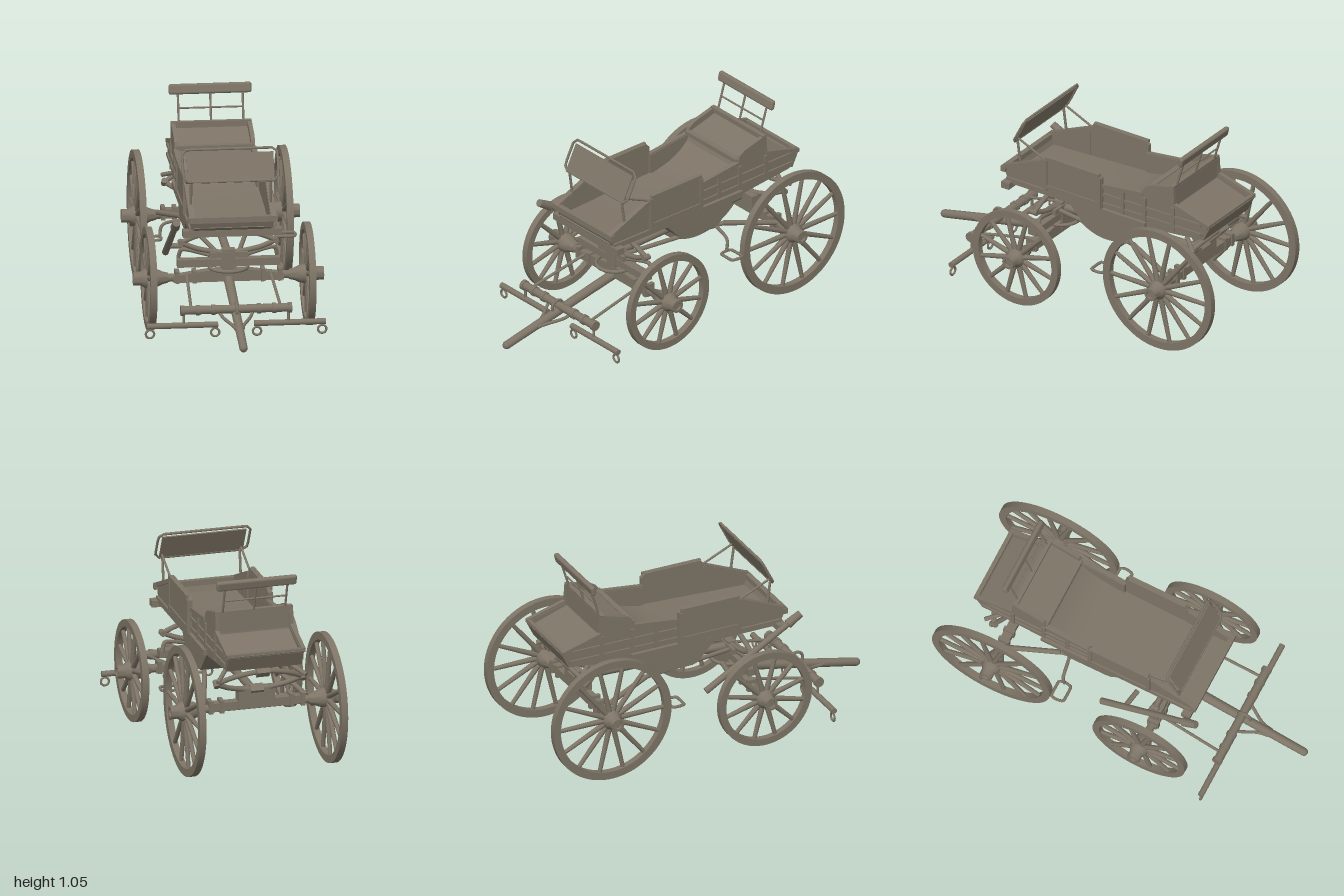
import * as THREE from 'three';
import { toCreasedNormals } from 'three/addons/utils/BufferGeometryUtils.js';
import { RoundedBoxGeometry } from 'three/addons/geometries/RoundedBoxGeometry.js';

const wood = new THREE.MeshStandardMaterial({ color: 0x7d7466, side: THREE.DoubleSide });
wood.name = 'weathered wood';
const V = (x, y, z) => new THREE.Vector3(x, y, z);
const UP = V(0, 1, 0);

export function createModel() {
  const root = new THREE.Group();
  root.name = 'wagon';

  const add = (name, geo, parent = root) => {
    const m = new THREE.Mesh(geo, wood);
    m.name = name;
    parent.add(m);
    return m;
  };
  const box = (name, w, h, d, x, y, z, rx = 0, parent = root) => {
    const m = add(name, new THREE.BoxGeometry(w, h, d), parent);
    m.position.set(x, y, z);
    m.rotation.x = rx;
    return m;
  };
  // round bar between two points
  const rod = (name, a, b, r, r2 = r, parent = root) => {
    const d = b.clone().sub(a);
    const m = add(name, new THREE.CylinderGeometry(r2, r, d.length(), 12), parent);
    m.position.copy(a).addScaledVector(d, 0.5);
    m.quaternion.setFromUnitVectors(UP, d.normalize());
    return m;
  };
  const tube = (name, pts, r, closed = false, parent = root, tension = 0.5) =>
    add(name, new THREE.TubeGeometry(
      new THREE.CatmullRomCurve3(pts, closed, 'catmullrom', tension), 40, r, 8, closed), parent);
  // side profile of [z, y] points, extruded across x from x0 to x1
  const profile = (name, pts, x0, x1) => {
    const s = new THREE.Shape(pts.map(([z, y]) => new THREE.Vector2(-z, y)));
    const g = new THREE.ExtrudeGeometry(s, { depth: x1 - x0, bevelEnabled: false });
    g.rotateY(Math.PI / 2).translate(x0, 0, 0);
    return add(name, toCreasedNormals(g, 0.35));
  };
  // square-sectioned strip between two points of a side panel
  const strip = (name, x, z0, y0, z1, y1, h, t = 0.012) =>
    box(name, t, h, Math.hypot(z1 - z0, y1 - y0), x, (y0 + y1) / 2, (z0 + z1) / 2,
      Math.atan2(y1 - y0, z0 - z1));

  // ---- wheels ----
  const wheel = (name, side, x, y, z, R, rim, n) => {
    const g = new THREE.Group();
    g.name = name;
    g.position.set(side * x, y, z);
    g.rotation.y = side > 0 ? 0 : Math.PI;
    root.add(g);
    const ring = new THREE.Shape().absarc(0, 0, R, 0, Math.PI * 2);
    ring.holes.push(new THREE.Path().absarc(0, 0, R - rim, 0, Math.PI * 2, true));
    const rg = new THREE.ExtrudeGeometry(ring, { depth: 0.035, bevelEnabled: false, curveSegments: 48 });
    rg.translate(0, 0, -0.0175).rotateY(Math.PI / 2);
    add('rim', toCreasedNormals(rg, 0.6), g);
    const hub = [[0, -0.1], [0.026, -0.1], [0.034, -0.07], [0.046, -0.045], [0.052, -0.015], [0.052, 0.02],
      [0.042, 0.035], [0.036, 0.045], [0.035, 0.083], [0.022, 0.083], [0.02, 0.072], [0, 0.072]];
    const hg = new THREE.LatheGeometry(hub.map(p => new THREE.Vector2(...p)), 24).rotateZ(-Math.PI / 2);
    add('hub', toCreasedNormals(hg, 0.7), g);
    for (let i = 0; i < n; i++) {
      const a = (i + 0.5) / n * Math.PI * 2, c = Math.cos(a), s = Math.sin(a);
      rod('spoke', V(0, c * 0.04, s * 0.04), V(0, c * (R - rim + 0.005), s * (R - rim + 0.005)), 0.015, 0.011, g);
    }
  };
  for (const s of [-1, 1]) {
    wheel('rearWheel', s, 0.385, 0.348, -0.652, 0.345, 0.042, 14);
    wheel('frontWheel', s, 0.417, 0.272, 0.23, 0.27, 0.038, 12);
  }

  // ---- body: floor, well, rear seat and tail deck in one cross-section ----
  profile('bodyTub', [[0.45, 0.60], [0.42, 0.567], [0.08, 0.567], [0.04, 0.545], [-0.05, 0.45], [-0.08, 0.44],
    [-0.3, 0.435], [-0.42, 0.56], [-0.79, 0.60], [-0.81, 0.63], [-0.83, 0.67], [-0.62, 0.74], [-0.61, 0.83],
    [-0.44, 0.78], [-0.42, 0.735], [-0.37, 0.69], [-0.3, 0.655], [-0.2, 0.63], [0.2, 0.61]], -0.2, 0.2);
  for (const s of [-1, 1]) {
    const panel = (name, pts, a, b) => profile(name, pts, s > 0 ? a : -b, s > 0 ? b : -a);
    panel('frontSide', [[0.455, 0.65], [0.42, 0.57], [0.19, 0.57], [0.19, 0.77]], 0.198, 0.216);
    panel('middleSide', [[0.19, 0.775], [0.175, 0.80], [-0.155, 0.802], [-0.175, 0.78], [-0.175, 0.6], [-0.15, 0.57],
      [0.17, 0.57], [0.19, 0.6]], 0.205, 0.226);
    panel('rearSide', [[-0.17, 0.735], [-0.43, 0.768], [-0.6, 0.76], [-0.845, 0.697], [-0.8, 0.61], [-0.42, 0.57],
      [-0.17, 0.57]], 0.19, 0.207);
    panel('seatSide', [[-0.425, 0.77], [-0.44, 0.805], [-0.475, 0.827], [-0.622, 0.866], [-0.63, 0.75], [-0.43, 0.755]], 0.19, 0.212);
    // rails and frames on the sides
    strip('frontTopRail', s * 0.214, 0.455, 0.65, 0.19, 0.765, 0.022, 0.03);
    strip('bottomRail', s * 0.214, 0.43, 0.585, -0.45, 0.585, 0.03, 0.025);
    strip('middleTopRail', s * 0.226, 0.18, 0.792, -0.163, 0.794, 0.018, 0.016);
    strip('middleLowerRail', s * 0.227, 0.185, 0.625, -0.165, 0.625, 0.02);
    for (const z of [0.178, -0.162]) box('middlePost', 0.01, 0.18, 0.02, s * 0.228, 0.69, z);
    strip('rearTopRail', s * 0.206, -0.17, 0.73, -0.43, 0.762, 0.022, 0.024);
    strip('rearMiddleRail', s * 0.21, -0.17, 0.68, -0.8, 0.69, 0.018);
    strip('rearLowerRail', s * 0.21, -0.17, 0.625, -0.8, 0.635, 0.018);
    strip('tailTopRail', s * 0.204, -0.62, 0.757, -0.845, 0.695, 0.02, 0.022);
    for (const z of [-0.3, -0.44, -0.62]) box('rearPost', 0.012, 0.14, 0.022, s * 0.211, 0.675, z);
  }
  box('toeBoard', 0.42, 0.09, 0.014, 0, 0.61, 0.435, 0.35);
  box('toeRail', 0.47, 0.03, 0.028, 0, 0.645, 0.447);
  box('frontCrossBar', 0.52, 0.036, 0.05, 0, 0.567, 0.415);
  box('seatEdge', 0.41, 0.024, 0.03, 0, 0.775, -0.435);
  box('seatTopRail', 0.42, 0.022, 0.025, 0, 0.855, -0.61);
  box('seatBack', 0.4, 0.1, 0.014, 0, 0.8, -0.616);
  box('tailBoard', 0.41, 0.1, 0.016, 0, 0.65, -0.822, -0.46);
  box('tailRail', 0.425, 0.02, 0.022, 0, 0.694, -0.838);

  // ---- seat back rail ----
  for (const x of [-0.17, 0, 0.17]) rod('backPost', V(x, 0.855, -0.615), V(x, 1.02, -0.665), 0.006);
  rod('backMiddleRail', V(-0.17, 0.93, -0.638), V(0.17, 0.93, -0.638), 0.005);
  const backRest = add('backRest', new RoundedBoxGeometry(0.435, 0.055, 0.028, 3, 0.012));
  backRest.position.set(0, 1.025, -0.667);
  backRest.rotation.x = -0.25;

  // ---- dashboard ----
  const dash = new THREE.Group();
  dash.name = 'dashboard';
  dash.position.set(0, 0.908, 0.335);
  dash.rotation.x = -0.46;
  root.add(dash);
  const w = 0.25, h = 0.086, c = 0.025;
  tube('dashFrame', [[w, -h + c], [w, h - c], [w - c, h], [c - w, h], [-w, h - c], [-w, c - h], [c - w, -h], [w - c, -h]]
    .map(p => V(p[0], p[1], 0)), 0.007, true, dash, 0.08);
  box('dashPanel', 0.456, 0.158, 0.008, 0, -0.014, 0, 0, dash);
  for (const s of [-1, 1]) {
    rod('dashPost', V(s * 0.21, 0.66, 0.345), V(s * 0.21, 0.84, 0.37), 0.007);
    rod('dashBrace', V(s * 0.215, 0.85, 0.365), V(s * 0.215, 0.772, 0.19), 0.006);
  }

  // ---- springs lying across the wagon, tipped by an angle ----
  const leafSpring = (name, at, half, height, tilt) => {
    const g = new THREE.Group();
    g.name = name;
    g.position.copy(at);
    g.rotation.x = tilt;
    root.add(g);
    for (const s of [-1, 1]) {
      const pts = [-1, -0.6, 0, 0.6, 1].map(t => V(t * half, s * height * (1 - t * t), 0));
      tube('leaf', pts, 0.014, false, g);
      rod('springEye', V(s * half, 0, -0.02), V(s * half, 0, 0.02), 0.016, 0.016, g);
      box('springClamp', 0.07, 0.04, 0.045, 0, s * height, 0, 0, g);
    }
  };
  leafSpring('frontSpring', V(0, 0.462, 0.235), 0.25, 0.06, 0);
  leafSpring('rearSpring', V(0, 0.505, -0.72), 0.235, 0.09, -0.7);
  box('frontSpringBlock', 0.08, 0.05, 0.08, 0, 0.545, 0.235);
  box('rearSpringSeat', 0.2, 0.07, 0.06, 0, 0.41, -0.65);

  // ---- running gear ----
  rod('frontAxle', V(-0.36, 0.272, 0.232), V(0.36, 0.272, 0.232), 0.022);
  const bed = new THREE.Shape([[-0.29, 0.25], [0.29, 0.25], [0.29, 0.285], [0.12, 0.31], [0, 0.32], [-0.12, 0.31], [-0.29, 0.285]]
    .map(p => new THREE.Vector2(...p)));
  add('frontAxleBed', new THREE.ExtrudeGeometry(bed, { depth: 0.05, bevelEnabled: false }).translate(0, 0, 0.21));
  box('frontBolster', 0.54, 0.04, 0.05, 0, 0.352, 0.235);
  box('kingPin', 0.07, 0.14, 0.06, 0, 0.34, 0.235);
  const turntable = add('turntable', new THREE.TorusGeometry(0.1, 0.01, 8, 32).rotateX(Math.PI / 2));
  turntable.position.set(0, 0.325, 0.235);
  box('springSeat', 0.2, 0.03, 0.06, 0, 0.395, 0.235);
  rod('rearAxle', V(-0.36, 0.348, -0.652), V(0.36, 0.348, -0.652), 0.022);
  box('rearAxleBed', 0.5, 0.045, 0.05, 0, 0.358, -0.652);
  rod('reachPole', V(0, 0.385, 0.22), V(0, 0.415, -0.65), 0.022);
  for (const s of [-1, 1]) {
    tube('bolsterArm', [V(s * 0.1, 0.39, 0.235), V(s * 0.2, 0.415, 0.22), V(s * 0.245, 0.415, 0.21), V(s * 0.26, 0.37, 0.2)], 0.011);
    rod('reachBrace', V(s * 0.28, 0.365, -0.64), V(s * 0.19, 0.43, -0.35), 0.014);
    rod('longBrace', V(s * 0.19, 0.43, -0.35), V(s * 0.06, 0.395, 0.2), 0.012);
    rod('rearStay', V(s * 0.17, 0.57, -0.68), V(s * 0.24, 0.53, -0.77), 0.012);
    for (const x of [0.18, 0.27]) box('axleClamp', 0.022, 0.066, 0.064, s * x, 0.28, 0.235);
    for (const x of [0.19, 0.25]) box('rearClamp', 0.022, 0.07, 0.062, s * x, 0.36, -0.652);
    // mounting step
    tube('stepLoop', [[0.31, -0.3], [0.395, -0.3], [0.405, -0.27], [0.395, -0.23], [0.31, -0.23], [0.3, -0.27]]
      .map(([x, z]) => V(s * x, 0.338, z)), 0.008, true, root, 0.2);
    tube('stepHanger', [V(s * 0.18, 0.425, -0.3), V(s * 0.27, 0.415, -0.285), V(s * 0.3, 0.39, -0.28), V(s * 0.305, 0.34, -0.27)], 0.009);
  }

  // ---- pole and hitch bars ----
  rod('drawPole', V(0, 0.262, 0.235), V(0, 0.102, 0.98), 0.027, 0.022);
  const tip = add('poleTip', new THREE.SphereGeometry(0.022, 12, 8));
  tip.position.set(0, 0.102, 0.978);
  rod('evenerBar', V(-0.29, 0.207, 0.615), V(0.29, 0.207, 0.615), 0.023);
  const hoop = add('evenerHoop', new THREE.TorusGeometry(0.036, 0.008, 8, 24).rotateY(Math.PI / 2));
  hoop.position.set(0, 0.208, 0.63);
  for (const s of [-1, 1]) {
    tube('poleBrace', [V(s * 0.018, 0.145, 0.78), V(s * 0.03, 0.15, 0.72), V(s * 0.07, 0.17, 0.65), V(s * 0.09, 0.195, 0.61)], 0.009);
    rod('shaftBrace', V(s * 0.235, 0.21, 0.61), V(s * 0.22, 0.29, 0.235), 0.008);
    for (const x of [0.12, 0.2, 0.282]) rod('evenerBand', V(s * (x - 0.01), 0.207, 0.615), V(s * (x + 0.01), 0.207, 0.615), 0.028);
    rod('hitchLink', V(s * 0.275, 0.125, 0.615), V(s * 0.275, 0.2, 0.615), 0.007);
    rod('swingleBar', V(s * 0.095, 0.125, 0.612), V(s * 0.47, 0.125, 0.612), 0.016);
    for (const x of [0.11, 0.452]) {
      const ring = add('traceRing', new THREE.TorusGeometry(0.022, 0.006, 8, 20));
      ring.position.set(s * x, 0.083, 0.612);
    }
  }

  // ---- brake lever on the right ----
  rod('brakeLever', V(-0.3, 0.325, -0.055), V(-0.3, 0.62, 0.45), 0.018, 0.016);
  rod('leverGrip', V(-0.3, 0.605, 0.425), V(-0.3, 0.65, 0.5), 0.025, 0.02);
  rod('leverPivot', V(-0.3, 0.4, 0.08), V(-0.19, 0.4, 0.1), 0.014);
  return root;
}
